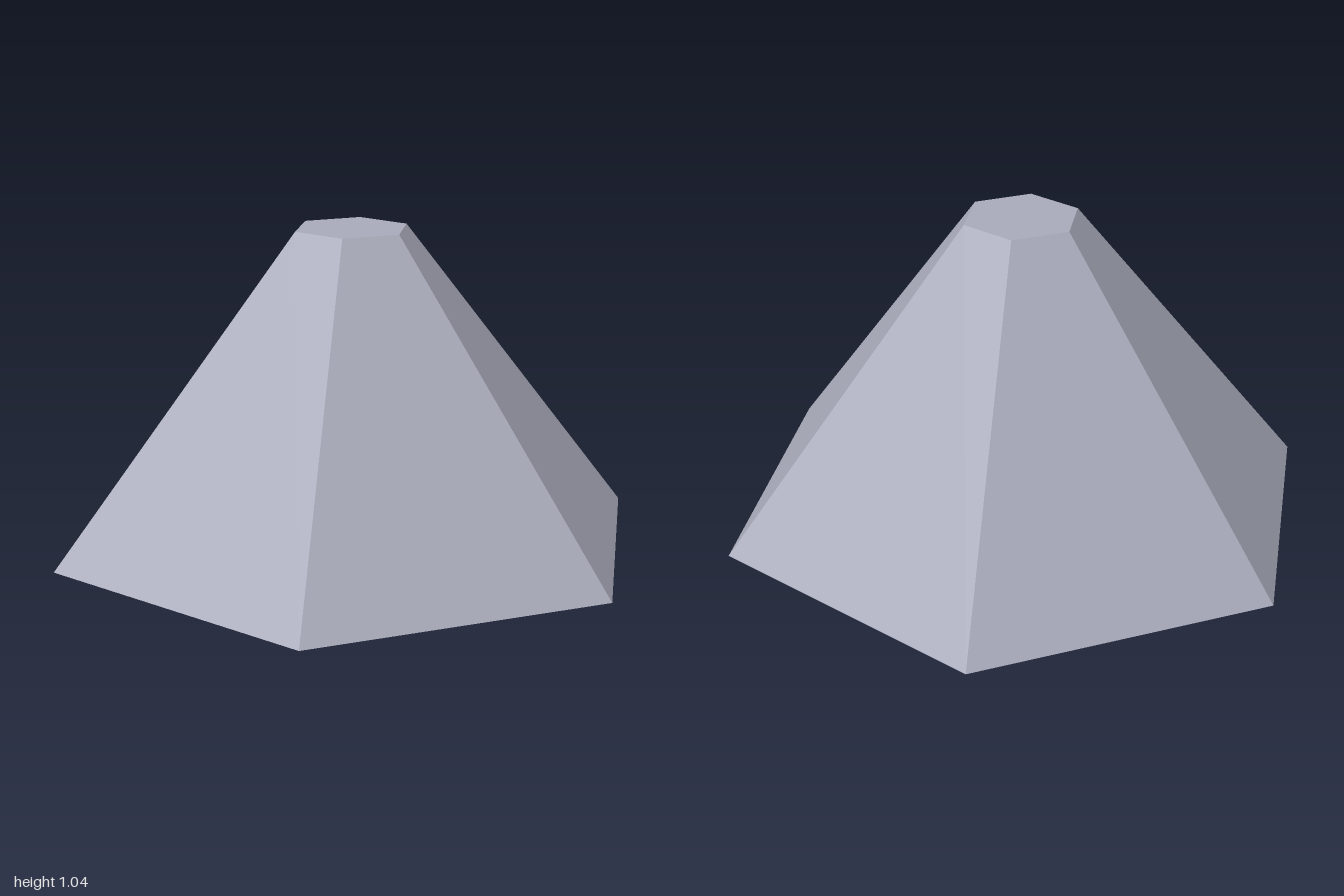
import * as THREE from 'three';

const SIDES = 6;

// Six-sided faceted solid turned from [radius, height] points, listed from the underside to the top
function facetedLathe(name, profile, material) {
  const points = profile.map(([r, y]) => new THREE.Vector2(r, y));
  const mesh = new THREE.Mesh(new THREE.LatheGeometry(points, SIDES), material);
  mesh.name = name;
  return mesh;
}

export function createModel() {
  const shadeMaterial = new THREE.MeshStandardMaterial({ color: 0xa8aaba, flatShading: true });
  shadeMaterial.name = 'grey shade';
  const bulbMaterial = new THREE.MeshStandardMaterial({ color: 0xeaecec, flatShading: true });
  bulbMaterial.name = 'white bulb';

  const lamp = new THREE.Group();
  lamp.name = 'hangingLamp';

  // Thick hollow shade: ceiling, inner wall, rim, outer wall, flat cap
  lamp.add(facetedLathe('shade', [
    [0, 0.875], [0.16, 0.875], [0.84, 0.015], [1, 0.015], [0.19, 1.04], [0, 1.04],
  ], shadeMaterial));

  // Bulb with a bevelled tip, reaching up into the shade
  lamp.add(facetedLathe('bulb', [
    [0, 0], [0.122, 0], [0.248, 0.09], [0.248, 0.74], [0, 0.74],
  ], bulbMaterial));

  return lamp;
}
